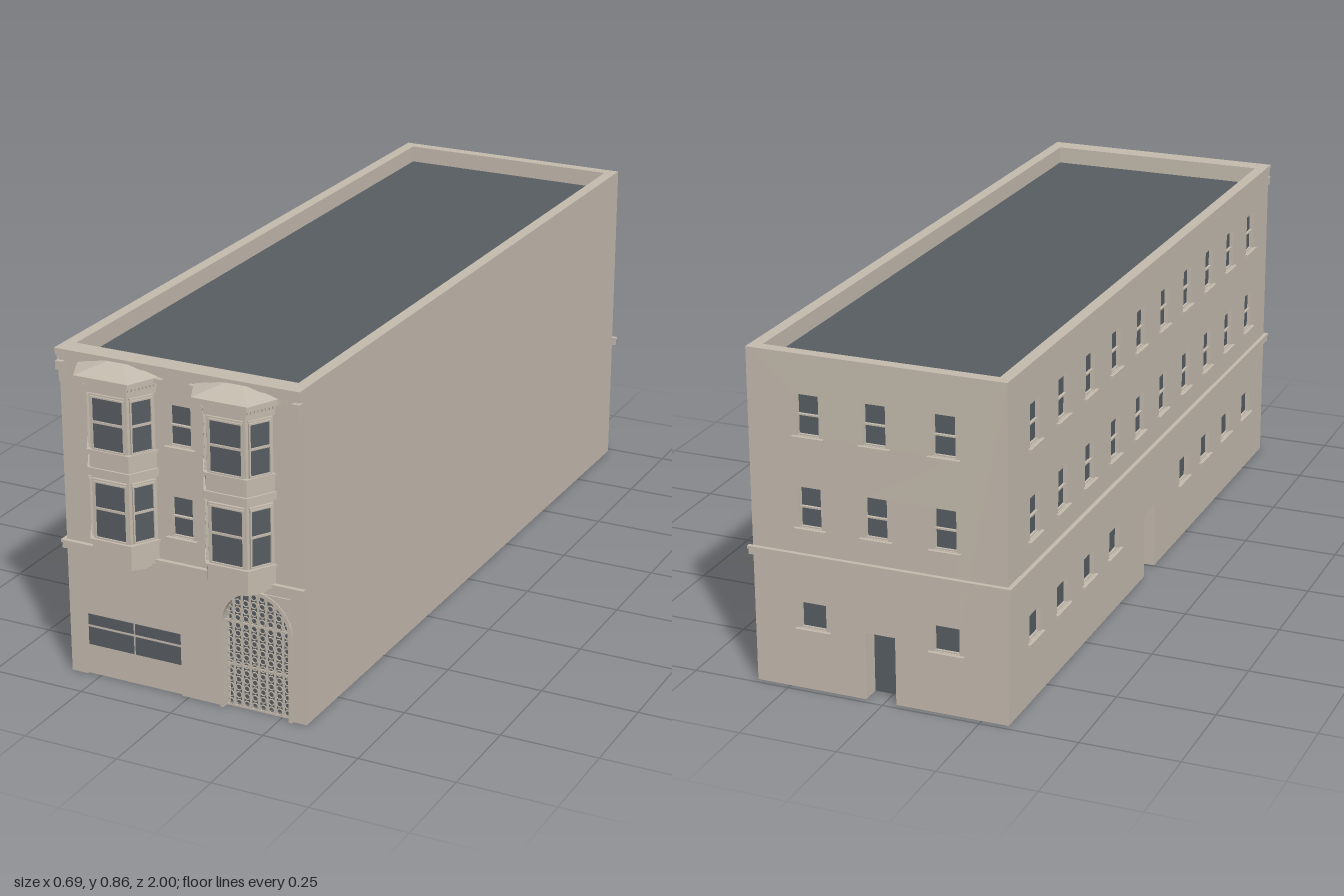
import * as THREE from 'three';
import { mergeGeometries } from 'three/addons/utils/BufferGeometryUtils.js';

const stone = new THREE.MeshStandardMaterial({ color: 0xc2b9ac });
stone.name = 'stone';
const slate = new THREE.MeshStandardMaterial({ color: 0x565c61 });
slate.name = 'slate';

const H = 0.855, LAYER = 0.015, BACK = 0.05;

function add(parent, name, geo, mat = stone) {
  const m = new THREE.Mesh(geo, mat);
  m.name = name;
  parent.add(m);
  return m;
}

// Box given by its x, y and z ranges
function span(x0, x1, y0, y1, z0, z1) {
  return new THREE.BoxGeometry(x1 - x0, y1 - y0, z1 - z0)
    .translate((x0 + x1) / 2, (y0 + y1) / 2, (z0 + z1) / 2);
}

// Group whose x runs along a wall from a to b and whose z points outward
function along(parent, name, a, b) {
  const g = new THREE.Group();
  g.name = name;
  g.position.set(a[0], 0, a[1]);
  g.rotation.y = Math.atan2(a[1] - b[1], b[0] - a[0]);
  g.userData.length = Math.hypot(b[0] - a[0], b[1] - a[1]);
  parent.add(g);
  return g;
}

// Plan polygon raised from y0 to y1
function prism(points, y0, y1) {
  const s = new THREE.Shape(points.map(([x, z]) => new THREE.Vector2(x, -z)));
  return new THREE.ExtrudeGeometry(s, { depth: y1 - y0, bevelEnabled: false })
    .rotateX(-Math.PI / 2).translate(0, y0, 0);
}

// Arch outline: straight jambs with a round head
function arch(path, c, r, spring) {
  path.lineTo(c - r, 0);
  path.lineTo(c - r, spring);
  path.absarc(c, spring, r, Math.PI, 0, true);
  path.lineTo(c + r, 0);
}

// Wall sheet with door notches in its foot and window holes
function sheet(L, doors, windows) {
  const s = new THREE.Shape();
  s.moveTo(0, 0);
  for (const d of doors) {
    if (d.arch) arch(s, d.u, d.w / 2, d.h);
    else [[-1, 0], [-1, 1], [1, 1], [1, 0]].forEach(([i, j]) => s.lineTo(d.u + i * d.w / 2, j * d.h));
  }
  s.lineTo(L, 0);
  s.lineTo(L, H);
  s.lineTo(0, H);
  for (const w of windows) {
    const a = w.u - w.w / 2, b = w.u + w.w / 2;
    s.holes.push(new THREE.Path([[a, w.y], [a, w.y + w.h], [b, w.y + w.h], [b, w.y]]
      .map(p => new THREE.Vector2(...p))));
  }
  return new THREE.ExtrudeGeometry(s, { depth: LAYER, bevelEnabled: false, curveSegments: 20 });
}

function buildWall(root, name, a, b, { windows = [], doors = [], belt = true }) {
  const g = along(root, name, a, b), L = g.userData.length;
  add(g, 'outerWall', sheet(L, doors, windows).translate(0, 0, -LAYER));
  add(g, 'innerWall', sheet(L, doors.filter(d => !d.shallow), []).translate(0, 0, -2 * LAYER));
  for (const w of windows) {
    const x0 = w.u - w.w / 2, x1 = w.u + w.w / 2, y1 = w.y + w.h, m = w.y + w.h / 2;
    add(g, 'windowGlass', span(x0, x1, w.y, y1, -0.013, -0.01), slate);
    const f = 0.003;
    const bars = [span(x0, x0 + f, w.y, y1, -0.01, -0.004), span(x1 - f, x1, w.y, y1, -0.01, -0.004),
      span(x0, x1, y1 - f, y1, -0.01, -0.004), span(x0, x1, w.y, w.y + f, -0.01, -0.004)];
    if (w.sash) bars.push(span(x0, x1, m - 0.002, m + 0.002, -0.01, -0.003));
    add(g, 'windowFrame', mergeGeometries(bars));
    add(g, 'windowSill', span(x0 - 0.012, x1 + 0.012, w.y - 0.008, w.y - 0.001, -0.005, 0.009));
  }
  // Deep doorways with a dark door at the back
  for (const d of doors.filter(d => d.recess)) {
    const x0 = d.u - d.w / 2, x1 = d.u + d.w / 2, t = 0.005;
    add(g, 'doorway', mergeGeometries([span(x0 - t, x0, 0, d.h, -BACK, -0.029),
      span(x1, x1 + t, 0, d.h, -BACK, -0.029), span(x0 - t, x1 + t, d.h, d.h + t, -BACK, -0.029)]));
    add(g, 'door', span(x0 - t, x1 + t, 0, d.h + t, -BACK - 0.005, -BACK), slate);
  }
  if (belt) {
    add(g, 'beltCourse', span(-0.009, L + (name === 'frontWall' ? 0 : 0.009), 0.333, 0.355, 0, 0.008));
    add(g, 'beltLip', span(-0.011, L + (name === 'frontWall' ? 0 : 0.011), 0.348, 0.355, 0, 0.011));
  }
  return g;
}

// Half outline of a bay, grown or shrunk by g
function bayPlan(g) {
  const b = 0.092 + g, f = 0.053 + g * 0.7, d = 0.065 + g;
  return [[-b, 0], [-f, d], [f, d], [b, 0]];
}

function buildBay(parent, x) {
  const bay = new THREE.Group();
  bay.name = 'bayWindow';
  bay.position.set(x, 0, 0.91);
  parent.add(bay);
  // Stepped corbel, body, sill courses and eaves
  const tiers = [[0.32, 0.327, -0.037], [0.327, 0.335, -0.027], [0.335, 0.345, -0.014], [0.345, 0.4, 0],
    [0.4, 0.406, 0.005], [0.406, 0.57, -0.003], [0.57, 0.59, 0.005], [0.59, 0.63, 0], [0.63, 0.636, 0.005],
    [0.636, 0.78, -0.003], [0.78, 0.805, 0.003], [0.805, 0.813, 0.012], [0.813, 0.825, 0.02]];
  for (const [y0, y1, g] of tiers) add(bay, 'bayTier', prism(bayPlan(g), y0, y1));
  // Hipped cap: top outline drawn in toward the wall
  const cap = prism([[-0.116, 0], [-0.073, 0.09], [0.073, 0.09], [0.116, 0]], 0.823, 0.847);
  const p = cap.attributes.position;
  for (let i = 0; i < p.count; i++) {
    if (p.getY(i) > 0.84) p.setXYZ(i, p.getX(i) * 0.26, 0.847, p.getZ(i) * 0.22);
    else if (p.getZ(i) >= 0) p.setY(i, 0.825);
  }
  cap.computeVertexNormals();
  add(bay, 'bayRoof', cap);
  // Sashes on the three faces
  const pts = bayPlan(-0.003), top = bayPlan(0.003);
  for (let k = 0; k < 3; k++) {
    const face = along(bay, 'bayFace', pts[k], pts[k + 1]);
    const L = face.userData.length, m = k === 1 ? 0.01 : 0.011;
    for (const [y0, ym, y1] of [[0.412, 0.486, 0.552], [0.64, 0.706, 0.767]]) {
      add(face, 'bayGlass', span(m, L - m, y0, y1, 0, 0.001), slate);
      add(face, 'baySash', mergeGeometries([span(m - 0.004, m, y0 - 0.004, y1 + 0.004, 0, 0.005),
        span(L - m, L - m + 0.004, y0 - 0.004, y1 + 0.004, 0, 0.005),
        span(m, L - m, y0 - 0.004, y0, 0, 0.005), span(m, L - m, y1, y1 + 0.004, 0, 0.005),
        span(m, L - m, ym - 0.003, ym + 0.003, 0, 0.004)]));
      add(face, 'windowHead', span(m - 0.006, L - m + 0.006, y1 + 0.007, y1 + 0.011, 0, 0.007));
    }
    const frieze = along(bay, 'bayFrieze', top[k], top[k + 1]), n = k === 1 ? 11 : 8, teeth = [];
    for (let i = 0; i < n; i++) {
      const u = (i + 0.5) * frieze.userData.length / n;
      teeth.push(span(u - 0.0028, u + 0.0028, 0.797, 0.805, 0, 0.006));
    }
    add(frieze, 'bayDentils', mergeGeometries(teeth));
  }
}

function buildGate(wall, c, r, spring) {
  // Moulded surround, then spandrel plate
  const ring = new THREE.Shape();
  ring.moveTo(c - r, 0);
  arch(ring, c, r + 0.01, spring);
  ring.lineTo(c + r, 0);
  ring.lineTo(c + r, spring);
  ring.absarc(c, spring, r, 0, Math.PI, false);
  add(wall, 'archSurround', new THREE.ExtrudeGeometry(ring, { depth: 0.007, bevelEnabled: false, curveSegments: 20 }));
  const plate = new THREE.Shape();
  plate.moveTo(c - r - 0.004, spring + 0.02);
  plate.lineTo(c - r - 0.004, 0.322);
  plate.lineTo(c + r + 0.004, 0.322);
  plate.lineTo(c + r + 0.004, spring + 0.02);
  plate.absarc(c, spring, r + 0.002, 0.22, Math.PI - 0.22, false);
  add(wall, 'archSpandrel', new THREE.ExtrudeGeometry(plate, { depth: 0.004, bevelEnabled: false, curveSegments: 20 }));
  add(wall, 'gateBacking', span(c - r - 0.02, c + r + 0.02, 0, 0.325, -0.036, -0.031), slate);
  // Lattice of bars and rings clipped to the arch
  const parts = [], n = 8, step = 2 * r / n;
  const head = dx => spring + Math.sqrt(Math.max(0, r * r - dx * dx));
  for (let i = 0; i <= n; i++) {
    const dx = -r + i * step;
    parts.push(span(c + dx - 0.002, c + dx + 0.002, 0, head(dx), -0.014, -0.009));
    if (i === n) break;
    const mid = dx + step / 2;
    for (let y = 0.012; y < 0.31; y += 0.0205) {
      if (y + 0.006 > Math.min(head(dx), head(dx + step)) && y > spring && y > head(mid) - 0.011) continue;
      parts.push(new THREE.TorusGeometry(0.0078, 0.0019, 4, 10).translate(c + mid, y, -0.0115));
    }
  }
  for (const y of [0.002, 0.113, 0.226]) parts.push(span(c - r, c + r, y - 0.002, y + 0.002, -0.014, -0.01));
  add(wall, 'gateLattice', mergeGeometries(parts));
}

export function createModel() {
  const root = new THREE.Group();
  root.name = 'townhouse';
  const FL = [-0.33, 0.91], FR = [0.32, 0.91], BR = [0.337, -0.985], BL = [-0.319, -0.985];
  const upper = u => [0.421, 0.653].map(y => ({ u, y, w: 0.058, h: 0.104, sash: true }));
  const low = u => ({ u, y: 0.16, w: 0.068, h: 0.068 });
  const gate = { u: 0.517, w: 0.176, h: 0.227, arch: true };
  const garage = { u: 0.178, w: 0.268, h: 0.168, shallow: true };

  // Four walls around an open base
  const front = buildWall(root, 'frontWall', FL, FR, { windows: upper(0.324), doors: [garage, gate] });
  buildWall(root, 'rightWall', FR, BR, { belt: false });
  buildWall(root, 'backWall', BR, BL, {
    windows: [0.155, 0.325, 0.5].flatMap(upper).concat([0.155, 0.5].map(low)),
    doors: [{ u: 0.328, w: 0.078, h: 0.175, recess: true }] });
  const cols = Array.from({ length: 10 }, (_, i) => 0.16 + 0.1755 * i);
  buildWall(root, 'leftWall', BL, FL, {
    windows: cols.flatMap(upper).concat(cols.filter((_, i) => i < 4 || i > 5).map(low)),
    doors: [{ u: 0.95, w: 0.078, h: 0.175, recess: true }] });

  // Sunken roof behind the parapet
  add(root, 'roof', prism([[FL[0] + 0.027, 0.882], [FR[0] - 0.027, 0.882], [BR[0] - 0.027, -0.957],
    [BL[0] + 0.027, -0.957]], 0.8, 0.81), slate);

  // Garage door with four panes
  add(front, 'garageDoor', span(0.044, 0.312, 0, 0.168, -LAYER, -0.006));
  for (const [x0, x1] of [[0.049, 0.176], [0.181, 0.307]])
    for (const [y0, y1] of [[0.08, 0.127], [0.134, 0.162]])
      add(front, 'garagePane', span(x0, x1, y0, y1, -0.006, -0.004), slate);
  buildGate(front, gate.u, gate.w / 2, gate.h);

  // Front cornice with dentils and brackets
  add(front, 'corniceTop', span(0, 0.65, 0.846, H, 0, 0.022));
  add(front, 'corniceMiddle', span(0, 0.65, 0.836, 0.846, 0, 0.017));
  add(front, 'corniceBase', span(0, 0.65, 0.825, 0.836, 0, 0.012));
  const teeth = [];
  for (let u = 0.006; u < 0.645; u += 0.0105) teeth.push(span(u, u + 0.006, 0.816, 0.825, 0, 0.01));
  add(front, 'corniceDentils', mergeGeometries(teeth));
  for (const [u, drop] of [[0.01, 0.055], [0.278, 0.025], [0.37, 0.025], [0.638, 0.055]]) {
    add(front, 'bracketHead', span(u - 0.01, u + 0.01, 0.822 - drop * 0.4, 0.822, 0, 0.02));
    add(front, 'bracketFoot', span(u - 0.006, u + 0.006, 0.822 - drop, 0.822 - drop * 0.4, 0, 0.012));
  }

  for (const x of [-0.163, 0.15]) buildBay(root, x);
  return root;
}
